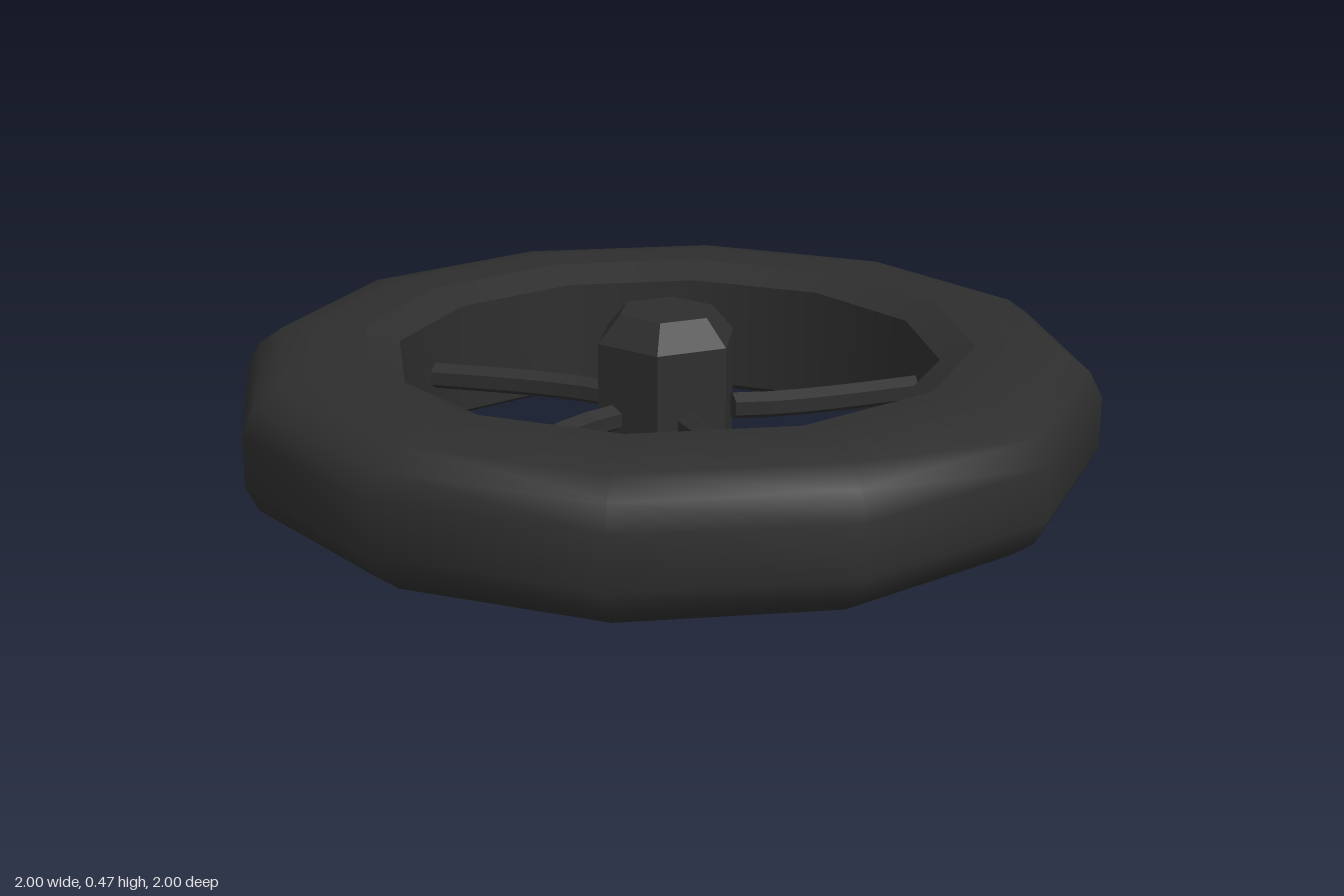
import * as THREE from 'three';

const MID = 0.2325; // height of the wheel's middle plane

// Faceted copy of a geometry
function faceted(geometry) {
  const flat = geometry.toNonIndexed();
  flat.computeVertexNormals();
  return flat;
}

// Twelve-sided ring from [radius, height above the middle] pairs
function ring(profile) {
  const points = profile.map(([r, h]) => new THREE.Vector2(r, MID + h));
  return new THREE.LatheGeometry(points, 12);
}

export function createModel() {
  const rubber = new THREE.MeshStandardMaterial({ color: 0x2e2e2e });
  rubber.name = 'dark rubber';

  const wheel = new THREE.Group();
  wheel.name = 'wheel';
  const add = (name, geometry, parent = wheel) => {
    const mesh = new THREE.Mesh(geometry, rubber);
    mesh.name = name;
    parent.add(mesh);
    return mesh;
  };

  // Rounded tyre, bottom to top around the outside
  const upper = [[1, 0.06], [0.97, 0.118], [0.915, 0.157], [0.82, 0.173], [0.71, 0.17]];
  const lower = upper.map(([r, h]) => [r, -h]).reverse();
  add('tyre', ring([...lower, ...upper]));

  // Rim: sloping lips and inner wall
  add('upperLip', ring([[0.71, 0.17], [0.63, 0.135]]));
  add('innerWall', ring([[0.63, 0.135], [0.63, -0.135]]));
  add('lowerLip', ring([[0.63, -0.135], [0.71, -0.17]]));

  // Six-sided hub with chamfered ends
  const hubProfile = [[0, -0.2325], [0.115, -0.2325], [0.17, -0.17], [0.17, 0.17], [0.115, 0.2325], [0, 0.2325]];
  const hubPoints = hubProfile.map(([r, h]) => new THREE.Vector2(r, MID + h));
  add('hub', faceted(new THREE.LatheGeometry(hubPoints, 6, Math.PI / 6)));

  // Five gently bowed spokes
  const start = 0.148, end = 0.625;
  const spoke = new THREE.CylinderGeometry(0.032, 0.032, end - start, 6, 6);
  spoke.rotateX(Math.PI / 2);
  spoke.translate(0, MID, (start + end) / 2);
  const pos = spoke.attributes.position;
  for (let i = 0; i < pos.count; i++) {
    const u = Math.max(0, (pos.getZ(i) - start) / (end - start));
    pos.setX(i, pos.getX(i) - 0.044 - 0.02 * Math.sin(Math.PI * Math.min(1, u ** 0.7)));
  }
  const spokeGeometry = faceted(spoke);
  const spokes = new THREE.Group();
  spokes.name = 'spokes';
  for (let i = 0; i < 5; i++) {
    add('spoke', spokeGeometry, spokes).rotation.y = (i * Math.PI * 2) / 5;
  }
  wheel.add(spokes);

  return wheel;
}
